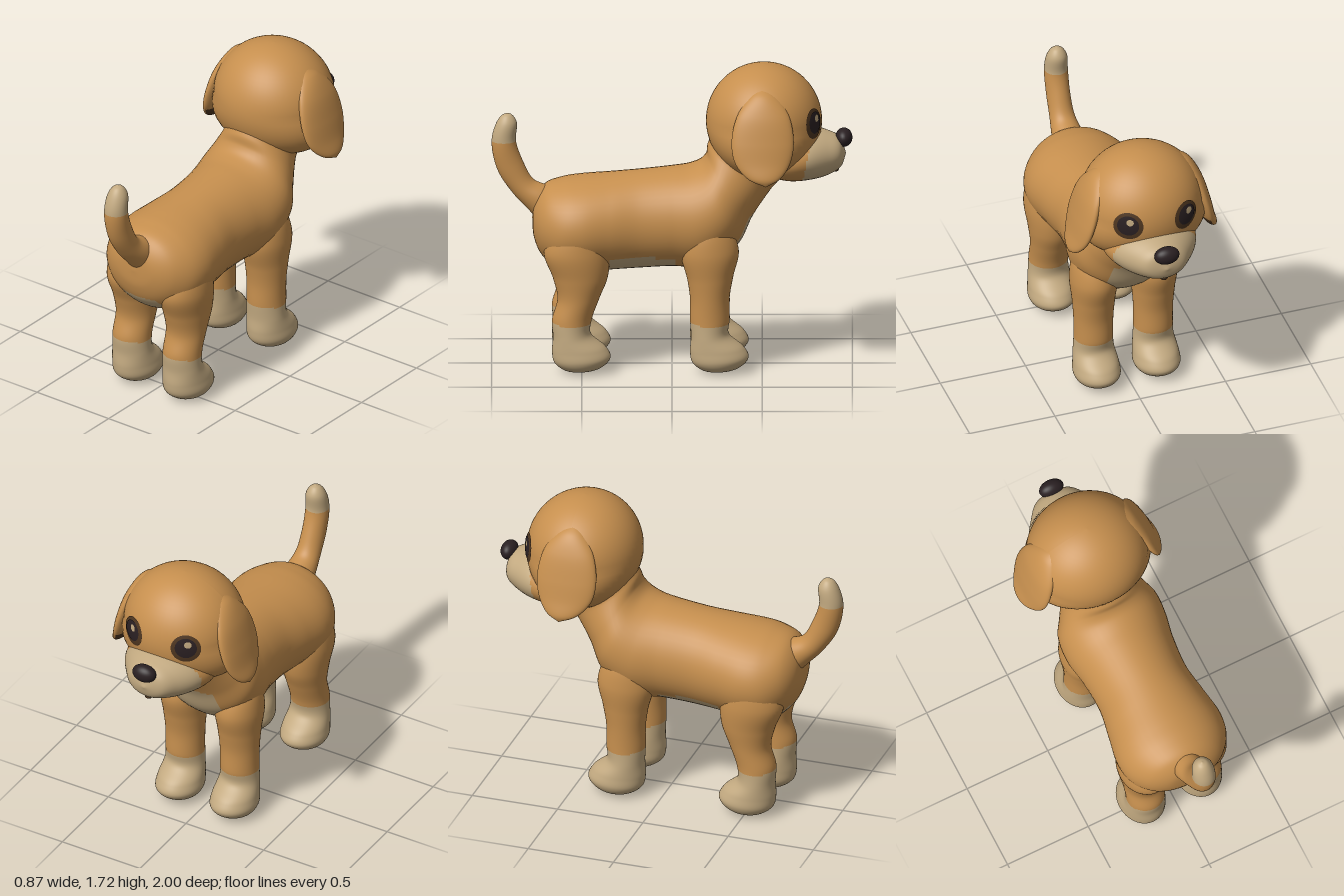
import * as THREE from 'three';
import { mergeVertices } from 'three/addons/utils/BufferGeometryUtils.js';

const mat = (name, color) => {
  const m = new THREE.MeshStandardMaterial({ color });
  m.name = name;
  return m;
};

// Smooth skin through oval rings. Each section is [zA, yA, zB, yB, halfWidth, centreX]:
// A and B are the opposite ends of the ring in the side plane.
// pick(x, y, z) returns the material index of a face.
function loft(name, sections, mats, pick = () => 0, around = 48, steps = 10) {
  const a = new THREE.CatmullRomCurve3(sections.map(s => new THREE.Vector3(s[5] || 0, s[1], s[0])));
  const b = new THREE.CatmullRomCurve3(sections.map(s => new THREE.Vector3(s[4], s[3], s[2])));
  const rows = (sections.length - 1) * steps;
  const pos = [];
  for (let i = 0; i <= rows; i++) {
    const A = a.getPoint(i / rows), B = b.getPoint(i / rows);
    for (let j = 0; j < around; j++) {
      const t = (j / around) * Math.PI * 2, s = Math.sin(t) / 2;
      pos.push(A.x + Math.max(B.x, 0) * Math.cos(t),
        (A.y + B.y) / 2 + (A.y - B.y) * s,
        (A.z + B.z) / 2 + (A.z - B.z) * s);
    }
  }
  const faces = mats.map(() => []);
  for (let i = 0; i < rows; i++) {
    for (let j = 0; j < around; j++) {
      const k = (j + 1) % around;
      const q = [i * around + j, (i + 1) * around + j, (i + 1) * around + k, i * around + k];
      const mid = [0, 1, 2].map(c => q.reduce((sum, v) => sum + pos[v * 3 + c], 0) / 4);
      faces[pick(...mid)].push(q[0], q[1], q[2], q[0], q[2], q[3]);
    }
  }
  let geo = new THREE.BufferGeometry();
  geo.setAttribute('position', new THREE.Float32BufferAttribute(pos, 3));
  geo.setIndex(faces.flat());
  geo = mergeVertices(geo, 1e-5);
  geo.clearGroups();
  let start = 0;
  faces.forEach((f, i) => {
    if (f.length) geo.addGroup(start, f.length, i);
    start += f.length;
  });
  geo.computeVertexNormals();
  const mesh = new THREE.Mesh(geo, mats);
  mesh.name = name;
  return mesh;
}

function ball(name, material, p, r) {
  const mesh = new THREE.Mesh(new THREE.SphereGeometry(1, 32, 20), material);
  mesh.name = name;
  mesh.position.set(...p);
  mesh.scale.set(...r);
  return mesh;
}

export function createModel() {
  const dog = new THREE.Group();
  dog.name = 'puppy';
  const fur = mat('tanFur', 0xc68f4e);
  const cream = mat('creamFur', 0xc2a980);
  const dark = mat('nearBlack', 0x2a2022);
  const brown = mat('darkBrown', 0x4e3620);
  const coat = [fur, cream];

  // Body from rump to neck, with pale belly and chest
  dog.add(loft('body', [
    [0.775, 0.84, 0.775, 0.84, 0],
    [0.76, 0.95, 0.765, 0.73, 0.13],
    [0.7, 1.03, 0.72, 0.63, 0.23],
    [0.6, 1.065, 0.63, 0.555, 0.3],
    [0.5, 1.08, 0.5, 0.54, 0.32],
    [0.33, 1.095, 0.35, 0.55, 0.295],
    [0.18, 1.11, 0.18, 0.56, 0.27],
    [0, 1.13, 0, 0.57, 0.28],
    [-0.1, 1.145, -0.2, 0.57, 0.305],
    [-0.16, 1.17, -0.37, 0.7, 0.3],
    [-0.19, 1.21, -0.45, 0.86, 0.26],
    [-0.2, 1.27, -0.55, 1.01, 0.215],
    [-0.28, 1.36, -0.6, 1.08, 0.2],
    [-0.45, 1.25, -0.45, 1.25, 0],
  ], coat, (x, y, z) => {
    const w = Math.abs(x);
    const belly = y < 0.66 && z > -0.02 && (z < 0.35 || w < 0.13);
    const chest = z < -0.2 && w < 0.14 && y < 0.92 - w * 0.4;
    return belly || chest ? 1 : 0;
  }));

  // Legs with pale paws; dz moves the shared lower leg
  const lowerLeg = (x, dz) => [
    [0.445, 0.3, 0.665, 0.3, 0.11, x],
    [0.45, 0.22, 0.66, 0.2, 0.115, x],
    [0.365, 0.14, 0.665, 0.12, 0.127, x],
    [0.34, 0.085, 0.655, 0.06, 0.13, x],
    [0.39, 0.03, 0.61, 0.02, 0.098, x],
    [0.53, 0, 0.53, 0, 0, x],
  ].map(s => [s[0] + dz, s[1], s[2] + dz, ...s.slice(3)]);
  const paw = (x, y) => (y < 0.285 ? 1 : 0);
  for (const [side, s] of [['Left', 1], ['Right', -1]]) {
    const x = 0.175 * s;
    dog.add(loft('hindLeg' + side, [
      [0.5, 0.95, 0.5, 0.95, 0, x],
      [0.4, 0.85, 0.64, 0.85, 0.11, x],
      [0.35, 0.7, 0.71, 0.69, 0.143, x],
      [0.355, 0.55, 0.66, 0.54, 0.128, x],
      [0.4, 0.43, 0.635, 0.42, 0.113, x],
      ...lowerLeg(x, 0)], coat, paw));
    dog.add(loft('frontLeg' + side, [
      [-0.2, 0.95, -0.2, 0.95, 0, x],
      [-0.31, 0.85, -0.1, 0.85, 0.1, x],
      [-0.37, 0.7, -0.05, 0.69, 0.132, x],
      [-0.34, 0.55, -0.085, 0.53, 0.12, x],
      [-0.32, 0.43, -0.1, 0.42, 0.112, x],
      ...lowerLeg(x, -0.765)], coat, paw));
  }

  // Tail with pale tip
  dog.add(loft('tail', [
    [0.7, 0.78, 0.56, 1.0, 0.095],
    [0.79, 0.88, 0.71, 1.03, 0.085],
    [0.89, 0.99, 0.77, 1.06, 0.07],
    [0.97, 1.12, 0.825, 1.16, 0.066],
    [1.0, 1.28, 0.865, 1.28, 0.066],
    [0.975, 1.38, 0.86, 1.385, 0.056],
    [0.945, 1.425, 0.885, 1.427, 0.03],
    [0.913, 1.44, 0.913, 1.44, 0],
  ], coat, (x, y) => (y > 1.285 ? 1 : 0)));

  // Head, with cheeks fuller than the crown
  const centre = new THREE.Vector3(0, 1.4, -0.51), size = new THREE.Vector3(0.345, 0.322, 0.322);
  const skull = new THREE.SphereGeometry(1, 56, 36);
  const p = skull.attributes.position;
  for (let i = 0; i < p.count; i++) {
    const cheek = 1 + 0.35 * Math.max(0, -p.getY(i));
    p.setXYZ(i, p.getX(i) * size.x * cheek, p.getY(i) * size.y, p.getZ(i) * size.z);
  }
  skull.computeVertexNormals();
  const head = new THREE.Mesh(skull, fur);
  head.name = 'head';
  head.position.copy(centre);
  dog.add(head);

  // Muzzle, nose and mouth
  dog.add(loft('muzzle', [
    [-0.5, 1.3, -0.5, 1.1, 0.24],
    [-0.65, 1.34, -0.65, 1.065, 0.265],
    [-0.76, 1.355, -0.77, 1.07, 0.235],
    [-0.86, 1.335, -0.87, 1.095, 0.17],
    [-0.93, 1.3, -0.935, 1.135, 0.11],
    [-0.965, 1.21, -0.965, 1.21, 0],
  ], coat, (x, y, z) => (z < -0.72 - (y - 1.08) * 0.2 ? 1 : 0)));
  dog.add(ball('nose', dark, [0, 1.3, -0.953], [0.072, 0.052, 0.047]));
  dog.add(ball('mouth', brown, [0, 1.118, -0.905], [0.022, 0.016, 0.02]));

  // Eyes: shallow stacked caps lying on the head
  const cap = (name, r, material, x, y, z) => {
    const geo = new THREE.SphereGeometry(0.32, 32, 8, 0, Math.PI * 2, 0, Math.asin(r / 0.32));
    const mesh = new THREE.Mesh(geo.translate(0, -0.32, 0).rotateX(Math.PI / 2), material);
    mesh.name = name;
    mesh.position.set(x, y, z);
    return mesh;
  };
  for (const [side, s] of [['Left', 1], ['Right', -1]]) {
    const ex = 0.17 * s, ey = 0.025;
    const ez = -size.z * Math.sqrt(1 - (ex / size.x) ** 2 - (ey / size.y) ** 2);
    const normal = new THREE.Vector3(ex / size.x ** 2, ey / size.y ** 2, ez / size.z ** 2).normalize();
    const eye = new THREE.Group();
    eye.name = 'eye' + side;
    eye.position.set(ex, ey, ez).add(centre);
    eye.lookAt(eye.position.clone().add(normal));
    eye.add(cap('iris', 0.085, brown, 0, 0, 0.006));
    eye.add(cap('pupil', 0.062, dark, 0, 0.006, 0.01));
    eye.add(cap('glint', 0.021, cream, 0.012, 0.03, 0.012));
    dog.add(eye);

    // Floppy ear with dark lining near the tip
    dog.add(loft('ear' + side, [
      [-0.5, 1.645, -0.5, 1.645, 0, 0.215 * s],
      [-0.58, 1.6, -0.43, 1.6, 0.045, 0.24 * s],
      [-0.65, 1.5, -0.36, 1.5, 0.05, 0.295 * s],
      [-0.675, 1.36, -0.33, 1.36, 0.05, 0.337 * s],
      [-0.655, 1.25, -0.35, 1.25, 0.045, 0.367 * s],
      [-0.6, 1.17, -0.42, 1.17, 0.034, 0.4 * s],
      [-0.52, 1.13, -0.52, 1.13, 0, 0.425 * s],
    ], [fur, brown], (x, y) => (y < 1.24 && Math.abs(x) < 0.365 + (1.24 - y) * 0.4 ? 1 : 0)));
  }
  return dog;
}
